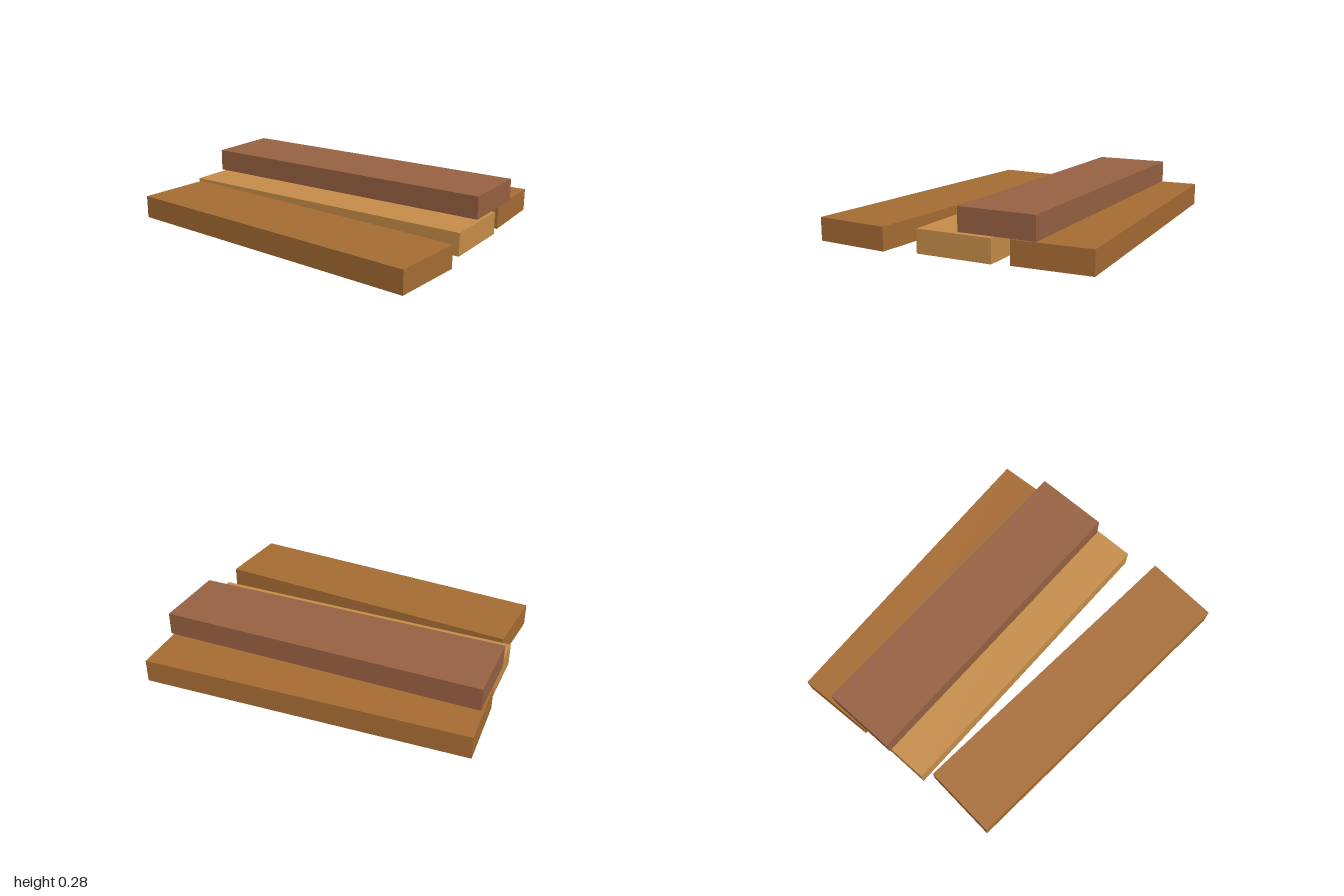
import * as THREE from 'three';

export function createModel() {
  const group = new THREE.Group();

  const material = (name, color) => {
    const m = new THREE.MeshStandardMaterial({ color });
    m.name = name;
    return m;
  };
  const brown = material('brown wood', 0xa86d34);
  const light = material('light wood', 0xc88e4a);
  const reddish = material('reddish wood', 0x986242);

  // All planks share one size
  const height = 0.138;
  const plank = new THREE.BoxGeometry(1.948, height, 0.459);

  // Name, material, x, bottom y, z, turn about y
  const planks = [
    ['frontPlank', brown, -0.001, 0, 0.484, -0.138],
    ['middlePlank', light, -0.002, 0, -0.087, -0.064],
    ['backPlank', brown, -0.002, 0, -0.602, -0.02],
    ['topPlank', reddish, -0.002, 0.144, -0.335, -0.062],
  ];
  for (const [name, mat, x, y, z, turn] of planks) {
    const mesh = new THREE.Mesh(plank, mat);
    mesh.name = name;
    mesh.position.set(x, y + height / 2, z);
    mesh.rotation.y = turn;
    group.add(mesh);
  }
  return group;
}
